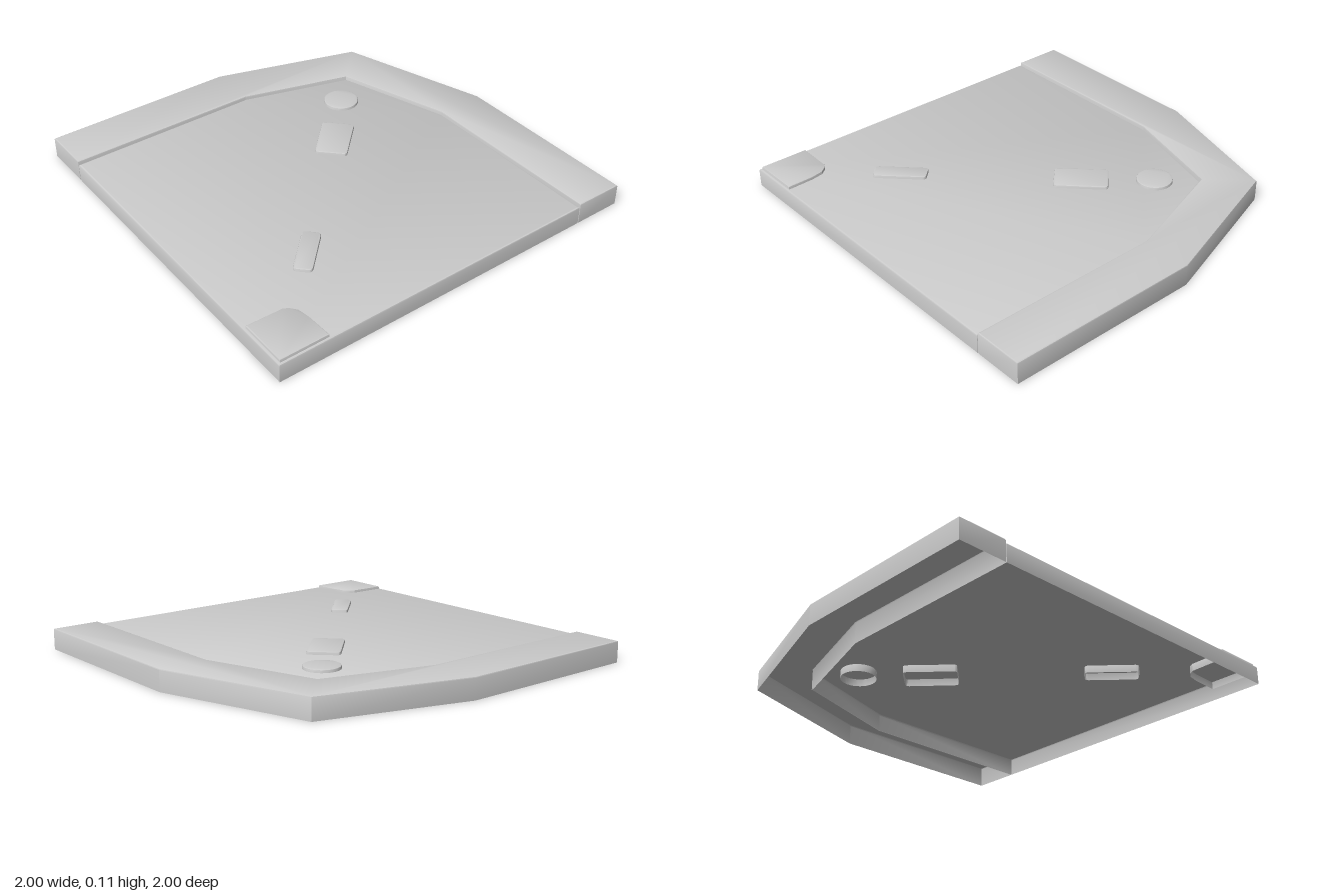
import * as THREE from 'three';
import { toCreasedNormals } from 'three/addons/utils/BufferGeometryUtils.js';

const material = new THREE.MeshStandardMaterial({ color: 0xcccccc, side: THREE.DoubleSide });

// Outline from [x, z] corners, counter-clockwise seen from above
function outline(corners) {
  const pts = corners.map(([x, z]) => new THREE.Vector2(x, -z));
  return THREE.ShapeUtils.isClockWise(pts) ? pts.reverse() : pts;
}

// Round every corner of an outline with a small curve
function rounded(pts, r) {
  const n = pts.length;
  return pts.flatMap((p, i) => {
    const a = pts[(i + n - 1) % n].clone().sub(p).setLength(r).add(p);
    const b = pts[(i + 1) % n].clone().sub(p).setLength(r).add(p);
    return new THREE.QuadraticBezierCurve(a, p, b).getPoints(3);
  });
}

// Mitred inset of a counter-clockwise outline
function inset(pts, d) {
  const n = pts.length;
  return pts.map((p, i) => {
    const e0 = p.clone().sub(pts[(i + n - 1) % n]).normalize();
    const e1 = pts[(i + 1) % n].clone().sub(p).normalize();
    const n0 = new THREE.Vector2(-e0.y, e0.x), n1 = new THREE.Vector2(-e1.y, e1.x);
    return n0.clone().add(n1).multiplyScalar(d / (1 + n0.dot(n1))).add(p);
  });
}

// Open-bottomed lid: walls, bevelled rim and flat top
function lid(name, pts, bottom, top, bevel) {
  const loops = [[0, bottom], [0, top - bevel], [bevel * 0.3, top - bevel * 0.3], [bevel, top]]
    .map(([d, y]) => inset(pts, d).map((p) => new THREE.Vector3(p.x, y, -p.y)));
  const verts = [], n = pts.length;
  for (let k = 0; k < loops.length - 1; k++) {
    for (let i = 0; i < n; i++) {
      const j = (i + 1) % n;
      const a = loops[k][i], b = loops[k][j], c = loops[k + 1][j], d = loops[k + 1][i];
      verts.push(a, b, c, a, c, d);
    }
  }
  const rim = loops[loops.length - 1];
  for (const f of THREE.ShapeUtils.triangulateShape(inset(pts, bevel), [])) {
    verts.push(...f.map((i) => rim[i]));
  }
  let geo = new THREE.BufferGeometry().setFromPoints(verts);
  geo = toCreasedNormals(geo, Math.PI / 7);
  const mesh = new THREE.Mesh(geo, material);
  mesh.name = name;
  return mesh;
}

export function createModel() {
  const group = new THREE.Group();
  group.name = 'corneredPlate';

  // Main plate
  group.add(lid('mainPlate', outline([
    [-0.738, 1], [-0.738, 0], [-0.577, -0.553], [0, -0.742], [1, -0.742], [1, 1],
  ]), 0, 0.095, 0.008));

  // Raised border around the two far sides
  group.add(lid('border', outline([
    [-1, 1], [-1, 0], [-0.775, -0.748], [0, -1], [1, -1],
    [1, -0.746], [0, -0.746], [-0.581, -0.556], [-0.742, 0], [-0.742, 1],
  ]), 0, 0.11, 0.006));

  // Raised pads, their walls passing through the plate
  const padBottom = 0.057, padTop = 0.11;
  const wide = outline([[-0.183, -0.305], [0.007, -0.11], [-0.11, 0.005], [-0.302, -0.187]]);
  group.add(lid('widePad', rounded(wide, 0.02), padBottom, padTop, 0.005));
  const narrow = outline([[0.43, 0.362], [0.62, 0.553], [0.555, 0.618], [0.364, 0.425]]);
  group.add(lid('narrowPad', rounded(narrow, 0.02), padBottom, padTop, 0.005));

  const ring = [];
  for (let i = 0; i < 32; i++) {
    const t = (i / 32) * Math.PI * 2;
    ring.push([-0.415 + 0.091 * Math.cos(t), -0.395 + 0.091 * Math.sin(t)]);
  }
  group.add(lid('roundPad', outline(ring), padBottom, padTop, 0.005));

  // Corner pad with one rounded corner
  group.add(lid('cornerPad', outline([
    [0.735, 0.988], [0.74, 0.8], [0.755, 0.775], [0.787, 0.75], [0.85, 0.739], [0.988, 0.735], [0.988, 0.988],
  ]), padBottom, padTop, 0.005));

  return group;
}
